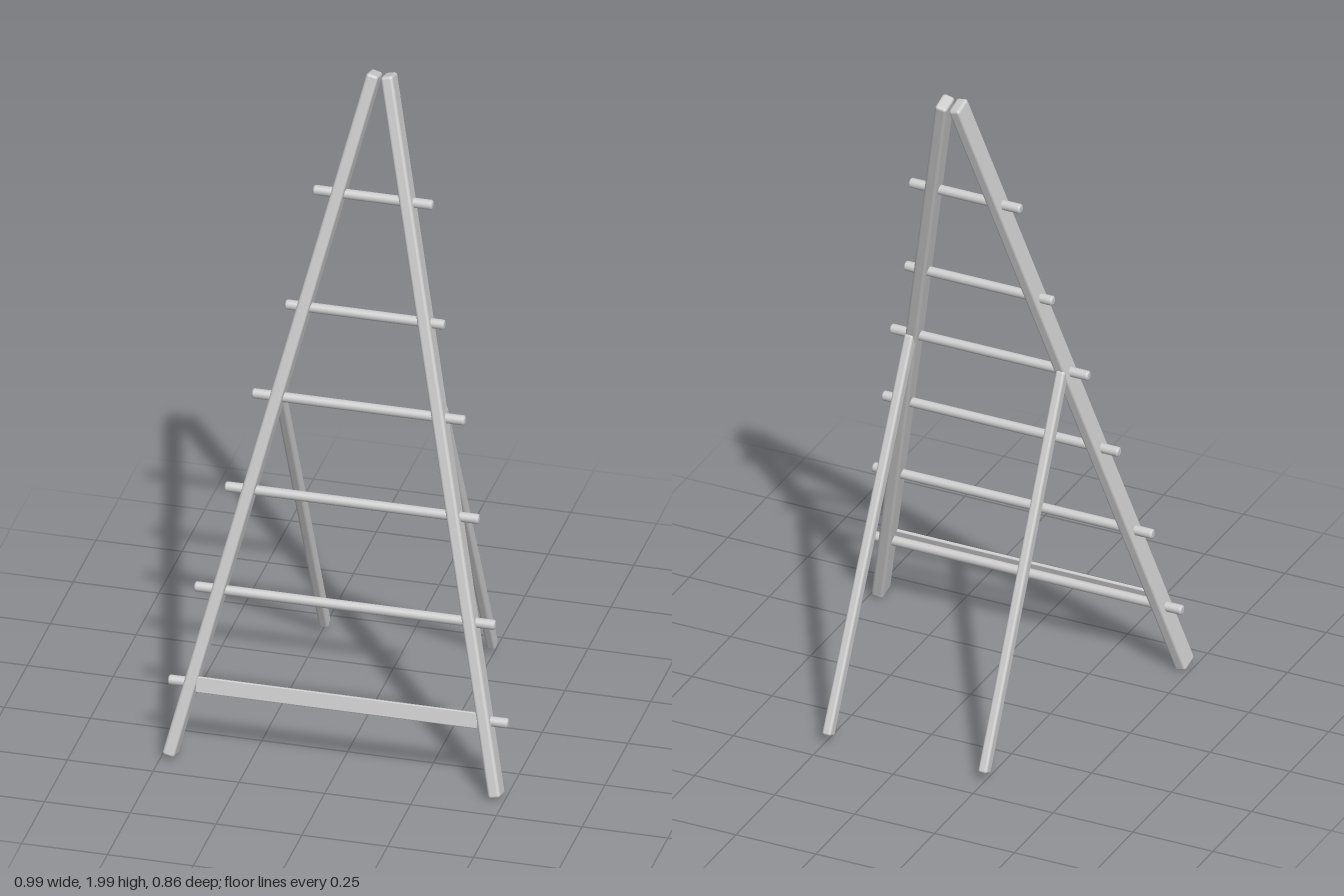
import * as THREE from 'three';
import { RoundedBoxGeometry } from 'three/addons/geometries/RoundedBoxGeometry.js';

const material = new THREE.MeshStandardMaterial({ color: 0xcccccc });

function addMesh(parent, geometry, name) {
  const mesh = new THREE.Mesh(geometry, material);
  mesh.name = name;
  parent.add(mesh);
  return mesh;
}

// Softly bevelled beam between two points, in its parent's frame
function addBeam(parent, name, from, to, width, depth, radius) {
  const a = new THREE.Vector3(...from), b = new THREE.Vector3(...to);
  const dir = b.clone().sub(a);
  const beam = addMesh(parent, new RoundedBoxGeometry(width, dir.length(), depth, 3, radius), name);
  beam.position.copy(a).add(b).multiplyScalar(0.5);
  beam.quaternion.setFromUnitVectors(new THREE.Vector3(0, 1, 0), dir.normalize());
  return beam;
}

// Round rod with bevelled ends, lying along x
function rungGeometry(half, r) {
  const c = 0.005;
  const profile = [
    [0, -half], [r - c, -half], [r - c, -half], [r - c * 0.3, -half + c * 0.4], [r, -half + c], [r, -half + c],
    [r, half - c], [r, half - c], [r - c * 0.3, half - c * 0.4], [r - c, half], [r - c, half], [0, half],
  ].map(([x, y]) => new THREE.Vector2(x, y));
  return new THREE.LatheGeometry(profile, 20).rotateZ(Math.PI / 2);
}

export function createModel() {
  const model = new THREE.Group();
  model.name = 'aFrameLadder';

  // Ladder frame leaning backwards
  const tilt = 0.2615;
  const along = (y) => y / Math.cos(tilt);
  const frame = new THREE.Group();
  frame.name = 'ladderFrame';
  frame.position.z = 0.409;
  frame.rotation.x = -tilt;
  model.add(frame);

  for (const [side, label] of [[1, 'left'], [-1, 'right']]) {
    // Converging side rails
    addBeam(frame, label + 'Rail', [side * 0.476, along(0.012), 0], [side * 0.02, along(1.989), 0], 0.036, 0.062, 0.009);
    // Rear support legs
    addBeam(model, label + 'SupportLeg', [side * 0.244, 0.025, -0.416], [side * 0.237, 1.06, 0.106], 0.028, 0.036, 0.008);
  }

  // Rungs: height and half length
  const rungs = [[0.22, 0.495], [0.49, 0.438], [0.78, 0.37], [1.05, 0.31], [1.31, 0.232], [1.64, 0.174]];
  rungs.forEach(([y, half], i) => {
    addMesh(frame, rungGeometry(half, 0.0145), 'rung' + (i + 1)).position.y = along(y);
  });

  // Flat board in front of the lowest rung
  addMesh(frame, new RoundedBoxGeometry(0.82, 0.046, 0.011, 2, 0.003), 'lowerBoard')
    .position.set(0, along(0.222), 0.02);

  return model;
}
